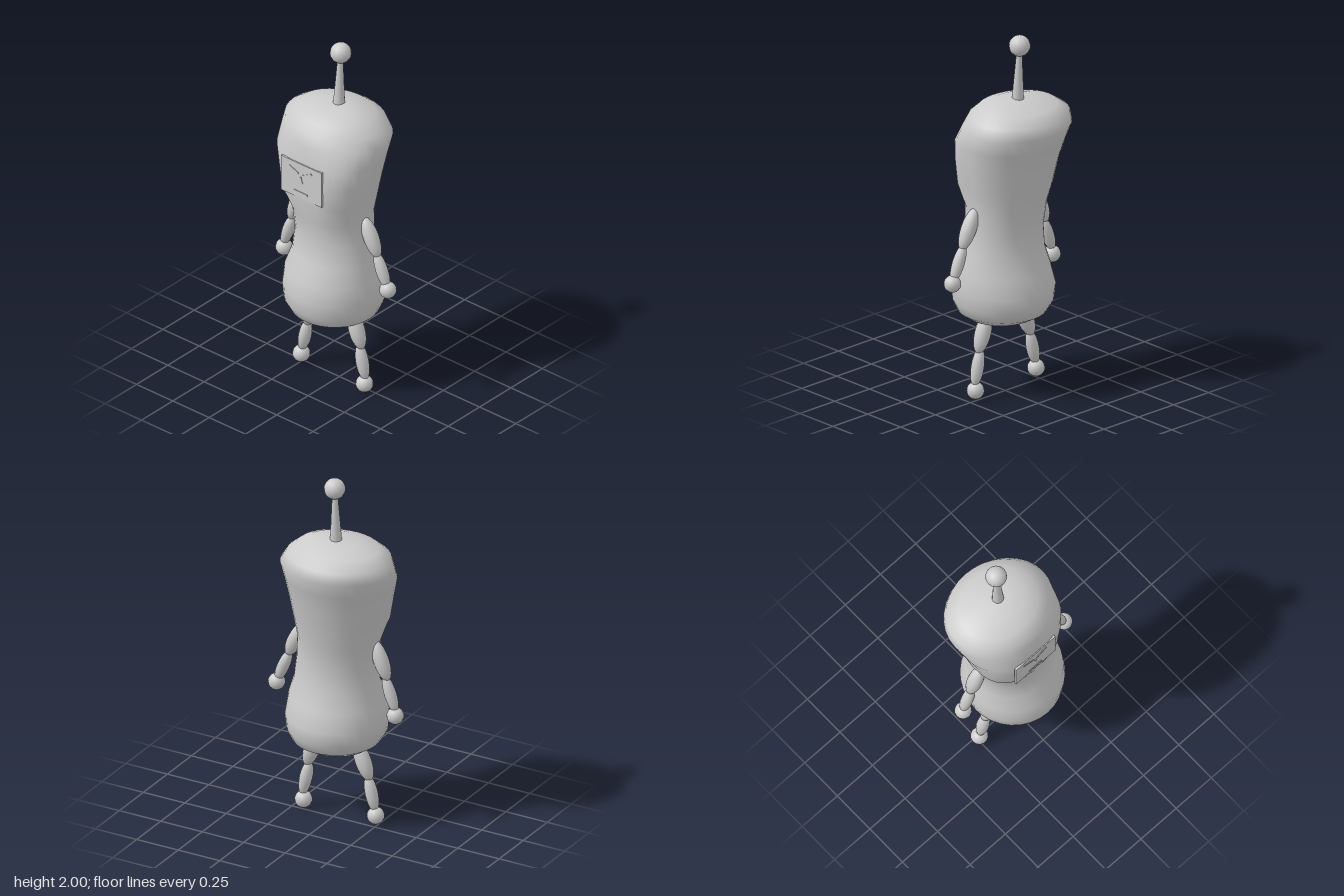
import * as THREE from 'three';

const grey = new THREE.MeshStandardMaterial({ color: 0xcccccc });
const V = (x, y, z) => new THREE.Vector3(x, y, z);

function add(parent, name, geometry) {
  const mesh = new THREE.Mesh(geometry, grey);
  mesh.name = name;
  parent.add(mesh);
  return mesh;
}

// Body cross-sections, bottom to top: [y, xMin, xMax, zBack, zFront]
const SECTIONS = [
  [0.40, -0.13, 0.12, -0.07, 0.12],
  [0.425, -0.19, 0.18, -0.15, 0.21],
  [0.46, -0.24, 0.23, -0.21, 0.265],
  [0.52, -0.275, 0.255, -0.243, 0.295],
  [0.60, -0.285, 0.265, -0.25, 0.30],
  [0.70, -0.27, 0.255, -0.215, 0.285],
  [0.80, -0.24, 0.225, -0.18, 0.235],
  [0.92, -0.235, 0.21, -0.165, 0.21],
  [1.05, -0.25, 0.20, -0.18, 0.22],
  [1.17, -0.285, 0.22, -0.21, 0.247],
  [1.30, -0.31, 0.24, -0.237, 0.252],
  [1.41, -0.338, 0.255, -0.27, 0.247],
  [1.50, -0.36, 0.265, -0.30, 0.22],
  [1.56, -0.345, 0.225, -0.285, 0.20],
  [1.605, -0.28, 0.17, -0.225, 0.15],
  [1.635, -0.17, 0.10, -0.13, 0.07],
];

// Lumpy closed skin, slightly squared and flattened at the front
function bodyGeometry(sides = 32) {
  const pos = [0, 0.385, 0.02], index = [];
  for (const [y, x0, x1, z0, z1] of SECTIONS) {
    const cx = (x0 + x1) / 2, rx = (x1 - x0) / 2;
    const cz = (z0 + z1) / 2, rz = (z1 - z0) / 2;
    for (let i = 0; i < sides; i++) {
      const a = (i / sides) * Math.PI * 2, c = Math.cos(a), s = Math.sin(a);
      const p = s > 0 && y > 1.1 && y < 1.45 ? 2 / 2.6 : 1;
      const x = cx + rx * Math.sign(c) * Math.abs(c) ** p;
      const z = cz + rz * Math.sign(s) * Math.abs(s) ** p;
      pos.push(x, y, y > 1.1 ? Math.min(z, 0.241) : z);
    }
  }
  const top = pos.length / 3, last = SECTIONS.length - 1;
  pos.push(-0.01, 1.65, -0.04);
  const at = (row, i) => 1 + row * sides + (i % sides);
  for (let i = 0; i < sides; i++) {
    index.push(0, at(0, i), at(0, i + 1), top, at(last, i + 1), at(last, i));
    for (let r = 0; r < last; r++) {
      const a = at(r, i), b = at(r, i + 1), c = at(r + 1, i + 1), d = at(r + 1, i);
      index.push(a, d, c, a, c, b);
    }
  }
  const g = new THREE.BufferGeometry();
  g.setAttribute('position', new THREE.Float32BufferAttribute(pos, 3));
  g.setIndex(index);
  g.computeVertexNormals();
  return g;
}

// Stretched ellipsoid between two points
function segment(parent, name, a, b, radius) {
  const mesh = add(parent, name, new THREE.SphereGeometry(1, 14, 12));
  mesh.scale.set(radius, a.distanceTo(b) / 2, radius);
  mesh.position.copy(a).lerp(b, 0.5);
  mesh.quaternion.setFromUnitVectors(V(0, 1, 0), b.clone().sub(a).normalize());
}

function ball(parent, name, center, radius) {
  add(parent, name, new THREE.SphereGeometry(radius, 14, 12)).position.copy(center);
}

// Two-part limb ending in a ball; points are [x, y]
function limb(parent, name, tip, z, radii, [a, b, c, d, e]) {
  const group = new THREE.Group();
  group.name = name;
  const P = ([x, y]) => V(x, y, z);
  segment(group, 'upperSegment', P(a), P(b), radii[0]);
  segment(group, 'lowerSegment', P(c), P(d), radii[1]);
  ball(group, tip, P(e), radii[2]);
  parent.add(group);
}

export function createModel() {
  const model = new THREE.Group();
  model.name = 'antennaCreature';

  add(model, 'body', bodyGeometry());

  // Antenna
  const stalk = add(model, 'antennaStalk', new THREE.CylinderGeometry(0.014, 0.034, 0.32, 16));
  stalk.position.set(-0.045, 1.76, -0.054);
  stalk.rotation.x = -0.04;
  ball(model, 'antennaBall', V(-0.045, 1.943, -0.063), 0.057);

  // Face panel with thin bars for features, in panel fractions (u right, v down)
  const face = new THREE.Group();
  face.name = 'face';
  model.add(face);
  add(face, 'facePanel', new THREE.BoxGeometry(0.28, 0.21, 0.012)).position.set(-0.05, 1.295, 0.24);
  const bars = [
    ['rightBrow', 0.2, 0.18, 0.43, 0.3],
    ['leftBrow', 0.53, 0.33, 0.76, 0.17],
    ['nose', 0.48, 0.38, 0.52, 0.56],
    ['mouth', 0.33, 0.84, 0.65, 0.84],
  ];
  for (const [name, u0, v0, u1, v1] of bars) {
    const a = V(-0.19 + 0.28 * u0, 1.4 - 0.21 * v0, 0.246);
    const b = V(-0.19 + 0.28 * u1, 1.4 - 0.21 * v1, 0.246);
    const bar = add(face, name, new THREE.BoxGeometry(a.distanceTo(b), 0.011, 0.006));
    bar.position.copy(a).lerp(b, 0.5);
    bar.rotation.z = Math.atan2(b.y - a.y, b.x - a.x);
  }

  // Arms and legs
  const arm = [0.042, 0.033, 0.046], leg = [0.044, 0.035, 0.047];
  limb(model, 'leftArm', 'hand', 0.024, arm,
    [[0.19, 1.07], [0.29, 0.86], [0.272, 0.89], [0.355, 0.695], [0.355, 0.69]]);
  limb(model, 'rightArm', 'hand', 0.024, arm,
    [[-0.235, 1.07], [-0.315, 0.855], [-0.295, 0.885], [-0.365, 0.68], [-0.36, 0.665]]);
  limb(model, 'leftLeg', 'foot', 0.022, leg,
    [[0.105, 0.46], [0.175, 0.25], [0.155, 0.28], [0.2, 0.07], [0.192, 0.048]]);
  limb(model, 'rightLeg', 'foot', 0.022, leg,
    [[-0.125, 0.46], [-0.21, 0.25], [-0.195, 0.28], [-0.24, 0.08], [-0.243, 0.058]]);

  return model;
}
